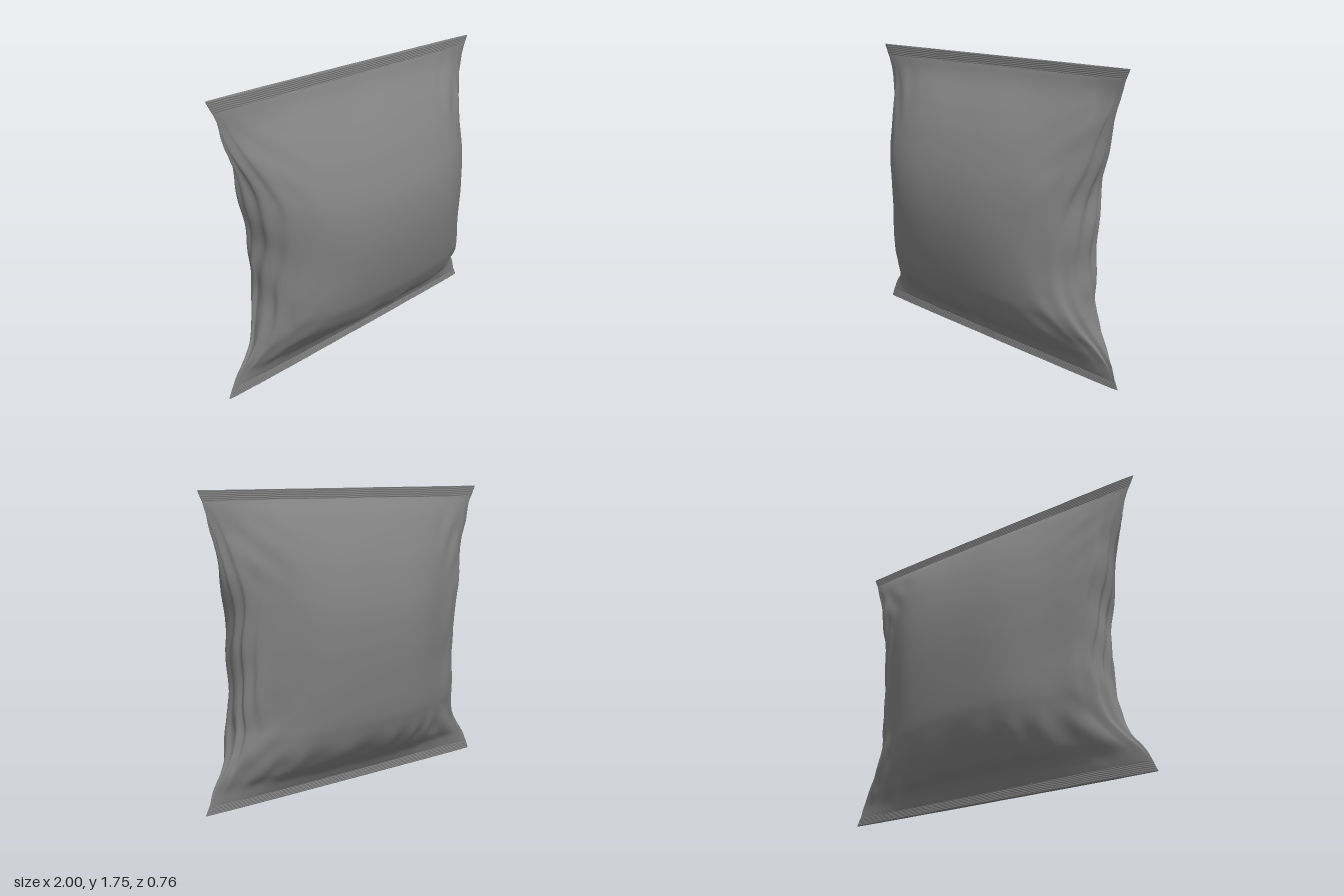
import * as THREE from 'three';

const SEGMENTS = 180;
const bell = (v, centre, width) => Math.exp(-(((v - centre) / width) ** 2));
const signedPow = (v, p) => Math.sign(v) * Math.abs(v) ** p;
// The bag is turned slightly about its vertical axis.
const midZ = (x) => -0.05 + 0.05 * x;

// Closed rings stacked upwards; point(angle, t) returns [x, y, z].
function loft(name, rows, point, material) {
  const positions = [];
  const index = [];
  for (let j = 0; j <= rows; j++) {
    for (let i = 0; i < SEGMENTS; i++) {
      positions.push(...point((i / SEGMENTS) * Math.PI * 2, j / rows));
      if (j === rows) continue;
      const a = j * SEGMENTS + i;
      const b = j * SEGMENTS + ((i + 1) % SEGMENTS);
      index.push(a, a + SEGMENTS, b, b, a + SEGMENTS, b + SEGMENTS);
    }
  }
  const geometry = new THREE.BufferGeometry();
  geometry.setAttribute('position', new THREE.Float32BufferAttribute(positions, 3));
  geometry.setIndex(index);
  geometry.computeVertexNormals();
  const mesh = new THREE.Mesh(geometry, material);
  mesh.name = name;
  return mesh;
}

// Height, left edge, right edge, front depth, back depth
const SECTIONS = [
  [0.06, -0.975, 0.98, 0.012, 0.012],
  [0.13, -0.935, 0.95, 0.055, 0.06],
  [0.2, -0.885, 0.91, 0.14, 0.145],
  [0.3, -0.82, 0.86, 0.25, 0.225],
  [0.4, -0.785, 0.82, 0.315, 0.27],
  [0.5, -0.77, 0.79, 0.358, 0.295],
  [0.7, -0.755, 0.785, 0.405, 0.318],
  [0.9, -0.765, 0.79, 0.422, 0.328],
  [1.1, -0.795, 0.805, 0.395, 0.315],
  [1.3, -0.84, 0.85, 0.31, 0.265],
  [1.45, -0.88, 0.895, 0.205, 0.2],
  [1.6, -0.93, 0.935, 0.065, 0.105],
  [1.69, -0.967, 0.967, 0.012, 0.014],
];
const curveOf = (a, b) => new THREE.CatmullRomCurve3(
  SECTIONS.map((s) => new THREE.Vector3(s[a], s[0], s[b])), false, 'catmullrom', 0.5);
const widths = curveOf(1, 2);
const depths = curveOf(3, 4);

function bodyPoint(angle, t) {
  const w = widths.getPoint(t);
  const d = depths.getPoint(t);
  const y = w.y;
  const u = signedPow(Math.cos(angle), 0.8);
  const s = Math.sin(angle);
  const front = s >= 0;
  const fullness = Math.min(1, d.x / 0.38);
  let x = (w.x + w.z) / 2 + (u * (w.z - w.x)) / 2;

  // The front is boxy low down and the back rounder; both thin out at the corners
  const roundness = front
    ? 1.45 - 0.5 * fullness - 0.28 * bell(y, 0.4, 0.22)
    : 1.5 - 0.5 * fullness;
  let depth = Math.abs(s) ** roundness * (front ? d.x : d.z);

  // Sunken panels along both sides of the back
  if (!front) depth *= 1 - 0.2 * bell(u, -0.75, 0.28) - 0.2 * bell(u, 0.85, 0.2);

  // Wrinkles fade out at the seals and along the middle of the faces
  const fade = Math.min(1, t * 8, (1 - t) * 8);
  const side = Math.abs(u) ** 5;
  const flip = front ? 0 : 2;
  const pucker = Math.sin((front ? 15 : 26) * x + 2 * Math.sin(6 * x + flip) + flip);
  depth += fade * Math.abs(s) * (
    0.011 * pucker * bell(y, 0.25, 0.09)
    + 0.005 * Math.sin(11 * x + flip) * bell(y, 1.55, 0.1)
    + 0.012 * side * Math.sin(13 * y + 9 * u + flip)
    // Diagonal folds running out of the four corners
    + 0.008 * bell(Math.abs(x), 0.72, 0.14) * bell(Math.abs(y - 0.87), 0.58, 0.2)
      * Math.sin(32 * (Math.abs(x) - Math.abs(y - 0.87))));
  // Creases down the sides
  x -= fade * side * Math.sign(u) * (
    0.009 * Math.sin(26 * s + 3 * Math.sin(5 * y + u))
    + 0.007 * Math.sin(17 * y + 4 * s + 2 * u));
  return [x, y, midZ(x) + Math.sign(s) * Math.max(depth, 0)];
}

// Flat crimped seal with fine horizontal ribs and closed outer edge
function sealPoint(y0, y1, left0, left1, right0, right1, top) {
  return (angle, t) => {
    const c = signedPow(Math.cos(angle), 0.8);
    const left = left0 + (left1 - left0) * t;
    const right = right0 + (right1 - right0) * t;
    const x = (left + right) / 2 + (c * (right - left)) / 2;
    const outer = top ? t : 1 - t;
    const tilt = (top ? -0.007 : 0.008) * x * outer;
    const rib = 0.0011 * Math.sin(t * Math.PI * 12 + Math.sin(23 * x) + Math.sin(9 * x));
    const thickness = outer > 0.999 ? 0 : 0.012;
    const z = signedPow(Math.sin(angle), 0.6) * thickness + rib * Math.abs(Math.sin(angle)) ** 0.3;
    return [x, y0 + (y1 - y0) * t + tilt, midZ(x) + z];
  };
}

export function createModel() {
  const group = new THREE.Group();
  group.name = 'pillowBag';
  const material = new THREE.MeshStandardMaterial({ color: 0x808080, side: THREE.DoubleSide });
  group.add(
    loft('bagBody', 150, bodyPoint, material),
    loft('bottomSeal', 56, sealPoint(0.01, 0.062, -1, -0.975, 1, 0.98, false), material),
    loft('topSeal', 56, sealPoint(1.688, 1.748, -0.967, -1, 0.967, 0.99, true), material),
  );
  return group;
}
